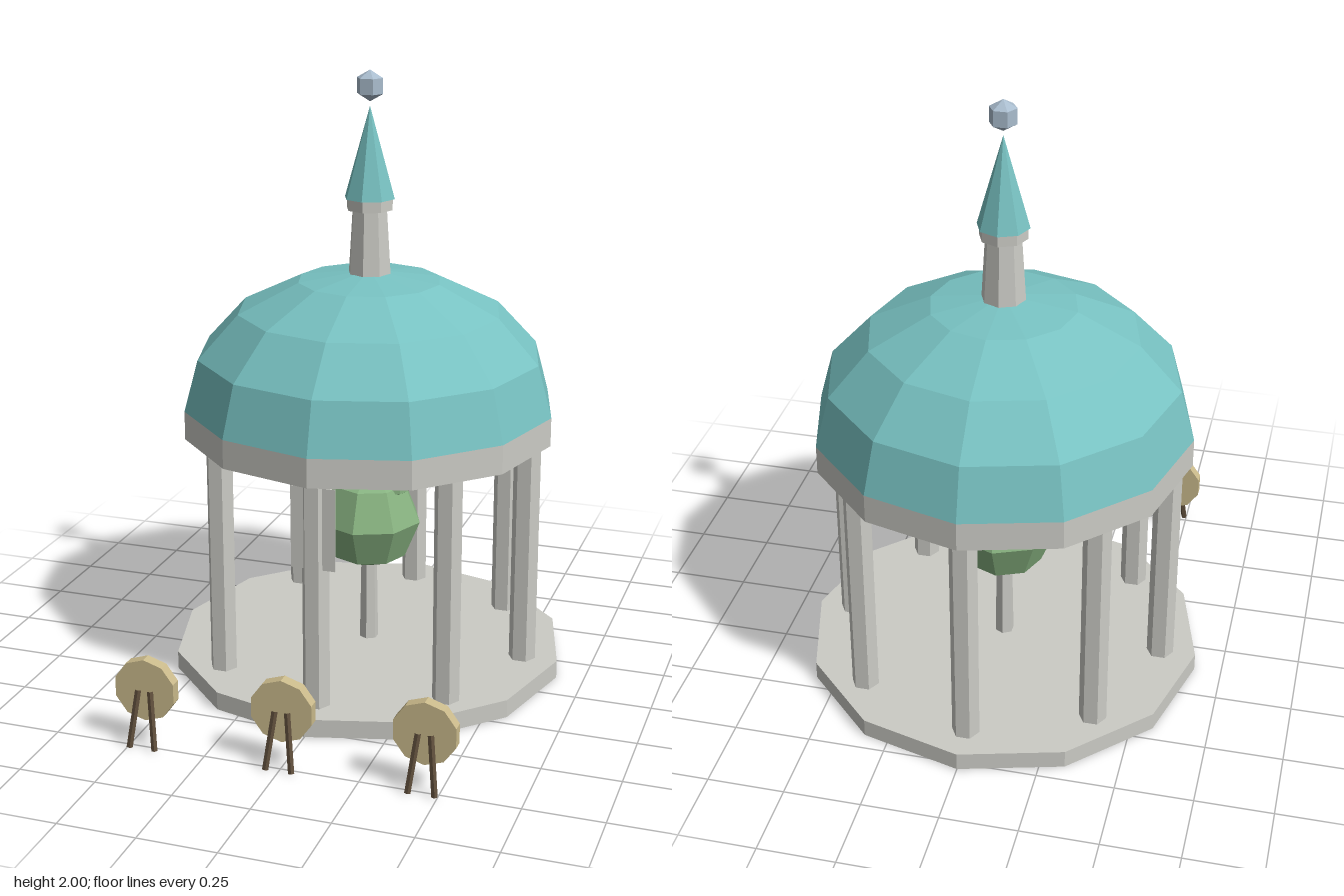
import * as THREE from 'three';

const mat = (name, color) => {
  const m = new THREE.MeshStandardMaterial({ color, flatShading: true });
  m.name = name;
  return m;
};

export function createModel() {
  const stone = mat('pale stone', 0xcbcbc5);
  const copper = mat('aged copper', 0x78c2c2);
  const leaf = mat('leaf green', 0x88b381);
  const straw = mat('straw', 0xcbbb8c);
  const wood = mat('dark wood', 0x5f4f3c);
  const bullseye = mat('bullseye brown', 0x7d6849);
  const silver = mat('blue silver', 0xa9bccd);

  const model = new THREE.Group();
  model.name = 'gardenPavilion';
  const add = (parent, name, geo, material, x = 0, y = 0, z = 0) => {
    const mesh = new THREE.Mesh(geo, material);
    mesh.name = name;
    mesh.position.set(x, y, z);
    parent.add(mesh);
    return mesh;
  };
  // Cylinder given by its bottom and top heights
  const drum = (rTop, rBottom, y0, y1, sides) =>
    new THREE.CylinderGeometry(rTop, rBottom, y1 - y0, sides).translate(0, (y0 + y1) / 2, 0);

  // Pavilion
  const pavilion = new THREE.Group();
  pavilion.name = 'pavilion';
  pavilion.position.z = -0.12;
  model.add(pavilion);
  add(pavilion, 'floor', drum(0.66, 0.66, 0, 0.06, 12), stone);
  for (let i = 0; i < 8; i++) {
    const a = (i * Math.PI) / 4;
    const column = drum(0.045, 0.045, 0.06, 0.82, 6).rotateY(Math.PI / 2);
    add(pavilion, 'column', column, stone, Math.sin(a) * 0.54, 0, Math.cos(a) * 0.54);
  }
  add(pavilion, 'rim', drum(0.615, 0.615, 0.815, 0.91, 12), stone);
  const dome = new THREE.SphereGeometry(0.615, 12, 4, 0, Math.PI * 2, 0, Math.PI / 2).scale(1, 0.725, 1);
  add(pavilion, 'dome', dome, copper, 0, 0.91, 0);
  add(pavilion, 'banner', new THREE.BoxGeometry(0.145, 0.27, 0.006), stone, 0, 0.665, 0.562);

  // Lantern and spire
  add(pavilion, 'lantern', drum(0.058, 0.072, 1.33, 1.555, 8), stone);
  add(pavilion, 'lanternCollar', drum(0.077, 0.077, 1.555, 1.592, 8), stone);
  add(pavilion, 'spire', new THREE.ConeGeometry(0.084, 0.295, 8), copper, 0, 1.739, 0);
  add(pavilion, 'finial', new THREE.SphereGeometry(0.05, 6, 3), silver, 0, 1.95, 0);

  // Clipped bush on a stem
  add(pavilion, 'stem', drum(0.026, 0.032, 0.06, 0.4, 6), stone);
  add(pavilion, 'bush', new THREE.SphereGeometry(0.178, 8, 4), leaf, 0, 0.497, 0);
  add(pavilion, 'bushTop', new THREE.SphereGeometry(0.122, 8, 3), leaf, 0.048, 0.67, -0.025);

  // Practice targets, facing the pavilion
  for (const x of [-0.45, 0, 0.45]) {
    const target = new THREE.Group();
    target.name = 'target';
    target.position.set(x, 0, 0.72);
    model.add(target);
    const disc = (r, t) => new THREE.CylinderGeometry(r, r, t, 10).rotateX(Math.PI / 2);
    add(target, 'targetDisc', disc(0.102, 0.038), straw, 0, 0.185, 0);
    add(target, 'targetCentre', disc(0.036, 0.006), bullseye, 0, 0.185, -0.02);
    for (const s of [-1, 1]) {
      const path = new THREE.LineCurve3(
        new THREE.Vector3(s * 0.042, 0, 0.05), new THREE.Vector3(s * 0.02, 0.185, 0.02));
      add(target, 'targetLeg', new THREE.TubeGeometry(path, 1, 0.01, 5), wood);
    }
  }
  return model;
}
